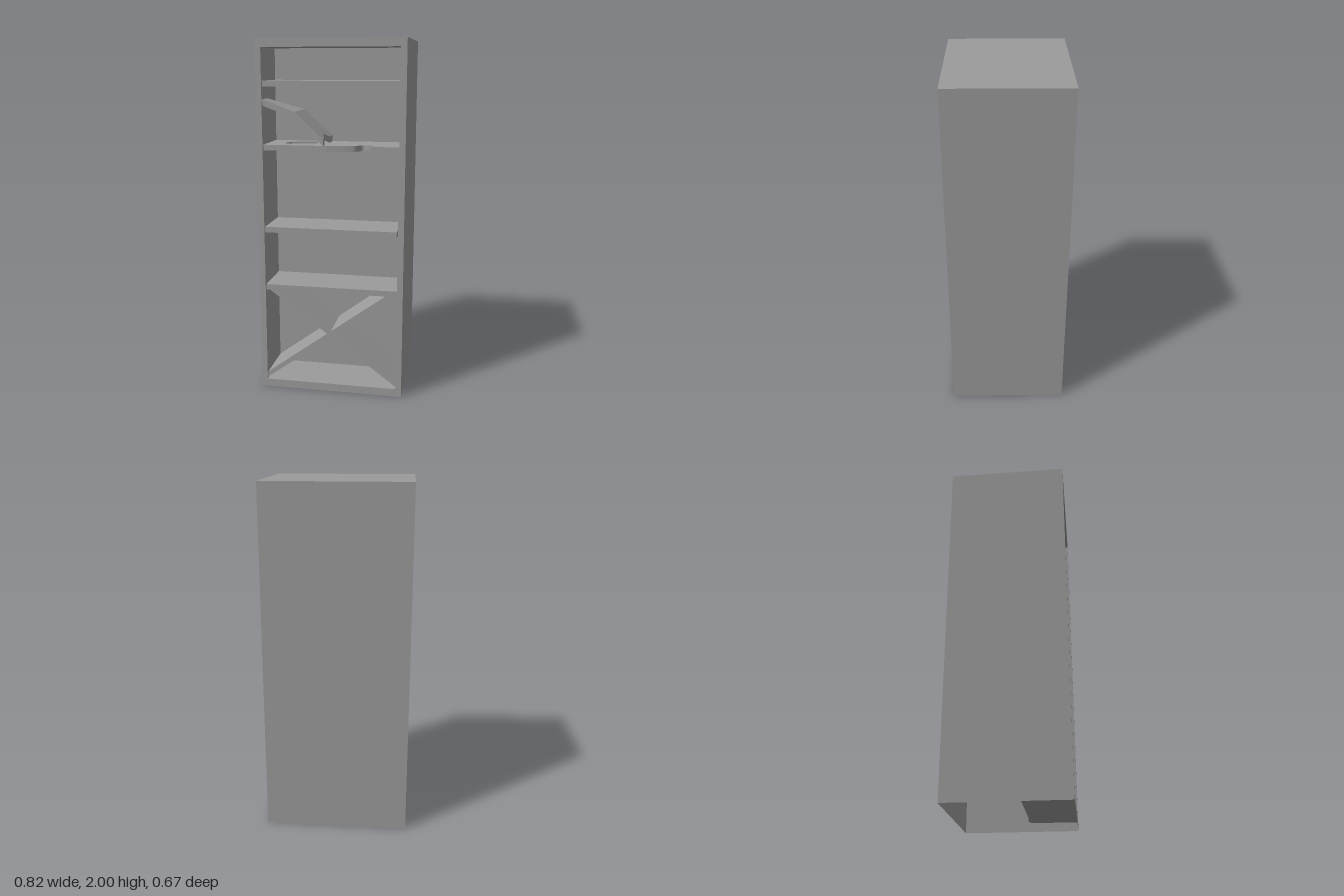
import * as THREE from 'three';

const material = new THREE.MeshStandardMaterial({ color: 0x9b9b9b, flatShading: true, side: THREE.DoubleSide });

const BACK = 0.045;   // shelves run slightly through the recess back
const FRONT = 0.32;   // shelves sit a little behind the front frame
const INNER = 0.378;  // half width of the recess

function add(group, name, geometry) {
  const mesh = new THREE.Mesh(geometry, material);
  mesh.name = name;
  group.add(mesh);
  return mesh;
}

// Thin-walled box given by its limits, without the listed sides
// (0..5 = +x, -x, +y, -y, +z, -z)
function openBox([x0, x1], [y0, y1], [z0, z1], missing) {
  const g = new THREE.BoxGeometry(x1 - x0, y1 - y0, z1 - z0);
  g.translate((x0 + x1) / 2, (y0 + y1) / 2, (z0 + z1) / 2);
  const index = Array.from(g.index.array);
  g.setIndex(index.filter((_, i) => !missing.includes(Math.floor(i / 6))));
  g.clearGroups();
  return g;
}

// Horizontal board from an outline of [x, z] points, optionally pierced
function board(outline, y, thickness, hole) {
  const toPoints = (pts) => pts.map(([x, z]) => new THREE.Vector2(x, -z));
  const shape = new THREE.Shape(toPoints(outline));
  if (hole) shape.holes.push(new THREE.Path(toPoints(hole)));
  const g = new THREE.ExtrudeGeometry(shape, { depth: thickness, bevelEnabled: false });
  return g.rotateX(-Math.PI / 2).translate(0, y, 0);
}

// Tilt a board by raising each point in proportion to its x
function slope(g, x0, rise) {
  const p = g.attributes.position;
  for (let i = 0; i < p.count; i++) p.setY(i, p.getY(i) + (p.getX(i) - x0) * rise);
  g.computeVertexNormals();
  return g;
}

export function createModel() {
  const model = new THREE.Group();
  model.name = 'brokenBookcase';

  // Outer shell, open at the front and underneath
  add(model, 'outerShell', openBox([-0.411, 0.411], [0, 2], [-0.335, 0.335], [3, 4]));

  // Front frame around the opening
  const frame = new THREE.Shape();
  frame.moveTo(-0.411, 0).lineTo(0.411, 0).lineTo(0.411, 2).lineTo(-0.411, 2).closePath();
  const opening = new THREE.Path();
  opening.moveTo(-INNER, 0.045).lineTo(-INNER, 1.954).lineTo(INNER, 1.954).lineTo(INNER, 0.045).closePath();
  frame.holes.push(opening);
  add(model, 'frontFrame', new THREE.ShapeGeometry(frame).translate(0, 0, 0.335));

  // Shallow recess that holds the shelves
  add(model, 'recess', openBox([-INNER, INNER], [0.045, 1.954], [0.057, 0.335], [4]));

  // Intact shelves: bottom height and right end
  for (const [y, right] of [[0.592, INNER], [0.931, 0.37], [1.745, INNER]]) {
    add(model, 'shelf', openBox([-INNER, right], [y, y + 0.032], [BACK, FRONT], []));
  }

  // Broken shelf with a curved bite out of the front edge and a hole
  const bite = new THREE.SplineCurve([
    [0.262, 0.273], [0.2, 0.255], [0.165, 0.25], [0.134, 0.288],
    [0.09, 0.303], [0.04, 0.312], [-0.02, FRONT],
  ].map(([x, z]) => new THREE.Vector2(x, z)));
  const brokenOutline = [
    [-INNER, BACK], [INNER, BACK], [INNER, FRONT], [0.22, FRONT],
    ...bite.getPoints(24).map((p) => [p.x, p.y]), [-INNER, FRONT],
  ];
  const hole = [[-0.29, 0.225], [-0.2, 0.23], [-0.1, 0.2], [-0.11, 0.11], [-0.26, 0.14]];
  add(model, 'brokenShelf', board(brokenOutline, 1.397, 0.032, hole));

  // Snapped plank leaning from the wall down to the broken shelf
  const plank = new THREE.Group();
  plank.name = 'fallenPlank';
  model.add(plank);
  const upper = [[-INNER, 0.22], [-0.3, 0.16], [-0.2, 0.08], [-0.2, 0.318], [-INNER, FRONT]];
  add(plank, 'plankUpperHalf', slope(board(upper, 1.642, 0.036), -INNER, -0.376));
  const lower = [
    [-0.2, 0.08], [-0.04, 0.06], [-0.037, 0.15], [-0.062, 0.2],
    [-0.055, 0.24], [-0.04, 0.28], [-0.038, 0.325], [-0.2, 0.318],
  ];
  add(plank, 'plankLowerHalf', slope(board(lower, 1.575, 0.036), -0.2, -0.91));

  // Crossed boards of the bottom compartment
  for (const side of [1, -1]) {
    const pts = [[-INNER, 0.051], [0.368, 0.6], [0.322, 0.6], [-INNER, 0.084]];
    const shape = new THREE.Shape(pts.map(([x, y]) => new THREE.Vector2(side * x, y)));
    const g = new THREE.ExtrudeGeometry(shape, { depth: FRONT - BACK, bevelEnabled: false });
    add(model, 'crossBoard', g.translate(0, 0, BACK));
  }

  return model;
}
